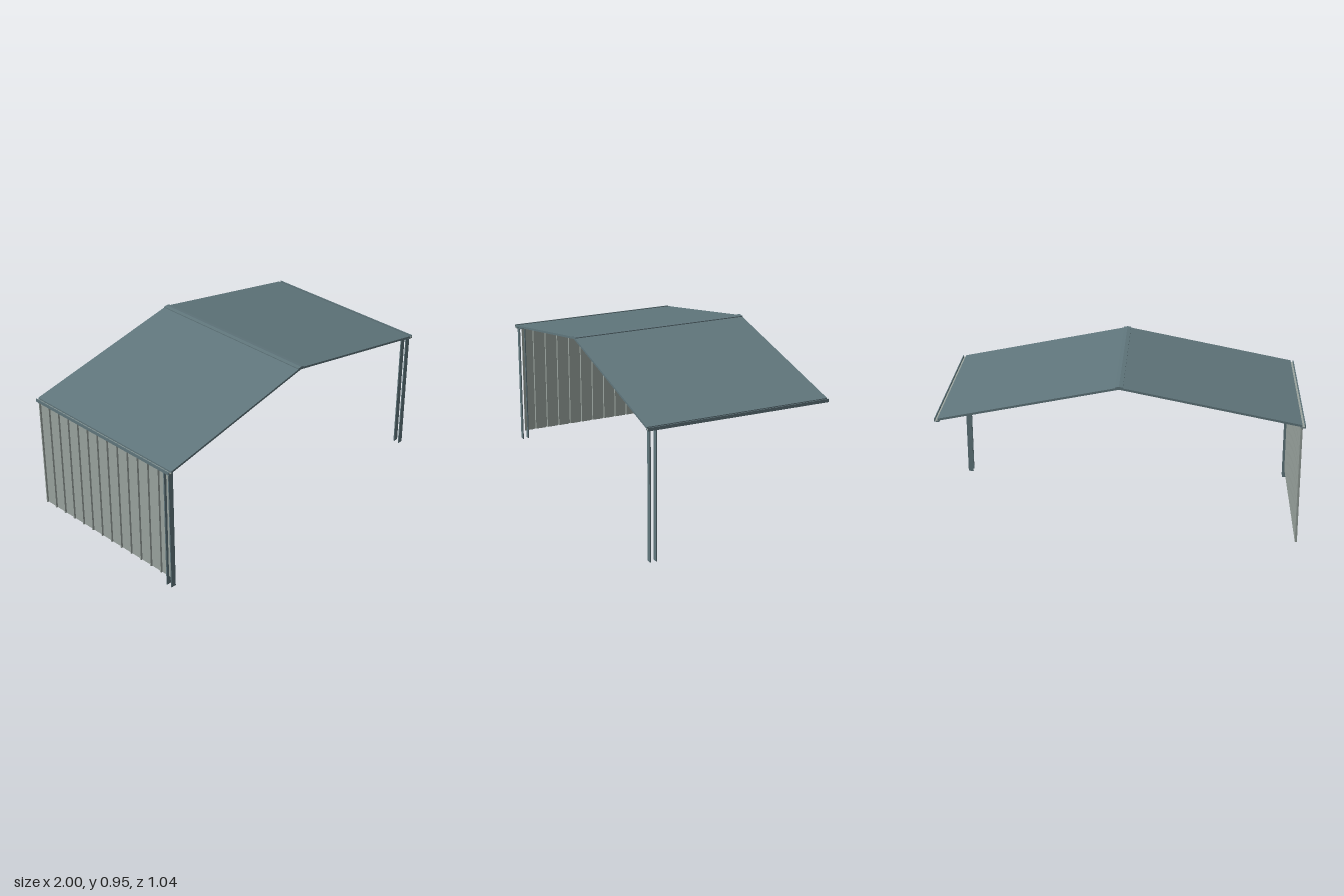
import * as THREE from 'three';

export function createModel() {
  const steel = new THREE.MeshStandardMaterial({ color: 0x60767c });
  steel.name = 'blue grey steel';
  const lining = new THREE.MeshStandardMaterial({ color: 0x9aa49f });
  lining.name = 'pale grey lining';

  const model = new THREE.Group();
  const add = (name, geometry, material, parent = model) => {
    const mesh = new THREE.Mesh(geometry, material);
    mesh.name = name;
    parent.add(mesh);
    return mesh;
  };
  // Box given by its lower and upper corners
  const box = (x0, y0, z0, x1, y1, z1) =>
    new THREE.BoxGeometry(x1 - x0, y1 - y0, z1 - z0)
      .translate((x0 + x1) / 2, (y0 + y1) / 2, (z0 + z1) / 2);
  // Box on either side of the centre, mirrored by s
  const sideBox = (s, x0, y0, z0, x1, y1, z1) =>
    s > 0 ? box(x0, y0, z0, x1, y1, z1) : box(-x1, y0, z0, -x0, y1, z1);

  const zBack = -0.52, zFront = 0.522;
  const ridgeY = 0.936, slope = 0.2;

  for (const s of [-1, 1]) {
    const side = new THREE.Group();
    side.name = s > 0 ? 'leftSide' : 'rightSide';
    model.add(side);

    // Roof panel: slab sheared down to the eave, pale underneath
    const roof = sideBox(s, 0, ridgeY - 0.006, zBack, 0.982, ridgeY + 0.006, zFront);
    const p = roof.attributes.position;
    for (let i = 0; i < p.count; i++) p.setY(i, p.getY(i) - slope * Math.abs(p.getX(i)));
    roof.computeVertexNormals();
    add('roofPanel', roof, [steel, steel, steel, lining, steel, steel], side);

    // Eave gutter: outer wall, floor and pale trough
    add('gutterWall', sideBox(s, 0.995, 0.728, zBack, 1.0, 0.746, zFront), steel, side);
    add('gutterFloor', sideBox(s, 0.972, 0.728, zBack, 0.995, 0.732, zFront), steel, side);
    add('gutterLining', sideBox(s, 0.978, 0.732, zBack, 0.995, 0.736, zFront), lining, side);

    // Front post: a pair of plates with a small head bracket
    for (const z of [0.473, 0.507]) {
      add('postPlate', sideBox(s, 0.96, 0, z - 0.003, 0.99, 0.73, z + 0.003), steel, side);
    }
    add('postHead', sideBox(s, 0.952, 0.726, 0.47, 0.99, 0.73, 0.51), steel, side);
  }

  // Ridge cap
  const cap = new THREE.Shape([
    [-0.021, 0.937], [0, 0.941], [0.021, 0.937], [0.021, 0.943], [0, 0.946], [-0.021, 0.943],
  ].map(([x, y]) => new THREE.Vector2(x, y)));
  add('ridgeCap', new THREE.ExtrudeGeometry(cap, { depth: zFront - zBack, bevelEnabled: false })
    .translate(0, 0, zBack), steel);

  // Ribbed side wall: sheet profile with outward ribs, extruded upward
  const xIn = -0.972, rib = 0.009, sheet = 0.003;
  const line = [[xIn, 0.49]];
  for (let i = 0; i < 13; i++) {
    const z = 0.42 - i * 0.078;
    line.push([xIn, z + 0.006], [xIn - rib, z + 0.003], [xIn - rib, z - 0.003]);
    line.push([xIn, Math.max(z - 0.006, zBack)]);
  }
  const outer = line.map(([x, z]) => [x - sheet, z]).reverse();
  const profile = new THREE.Shape([...line, ...outer].map(([x, z]) => new THREE.Vector2(x, -z)));
  add('sideWall', new THREE.ExtrudeGeometry(profile, { depth: 0.68, bevelEnabled: false })
    .rotateX(-Math.PI / 2).translate(0, 0.05, 0), lining);

  return model;
}
